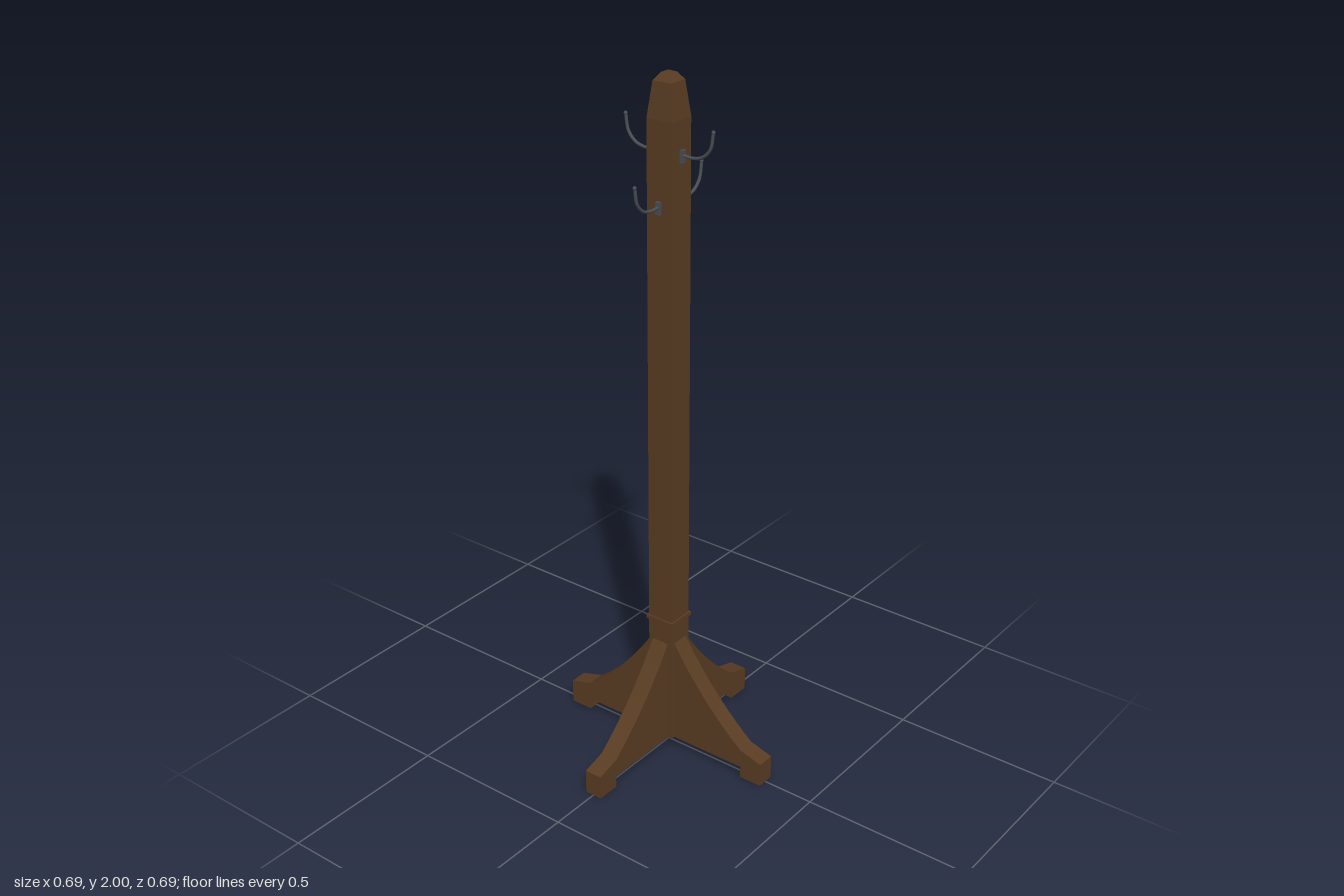
import * as THREE from 'three';
import { toCreasedNormals } from 'three/addons/utils/BufferGeometryUtils.js';

const wood = new THREE.MeshStandardMaterial({ color: 0x5a3d23 });
wood.name = 'darkWood';
const iron = new THREE.MeshStandardMaterial({ color: 0x4a4f56 });
iron.name = 'iron';

function add(parent, name, geometry, material, x = 0, y = 0, z = 0) {
  const mesh = new THREE.Mesh(geometry, material);
  mesh.name = name;
  mesh.position.set(x, y, z);
  parent.add(mesh);
  return mesh;
}

// Square post with a tapered, chamfered top; profile is [half width, height]
function postGeometry() {
  const profile = [[0, 0.035], [0.04, 0.035], [0.04, 1.885], [0.029, 1.98], [0.014, 2], [0, 2]]
    .map(([half, y]) => new THREE.Vector2(half * Math.SQRT2, y));
  return toCreasedNormals(new THREE.LatheGeometry(profile, 4, Math.PI / 4), 0.1);
}

// Buttress leg with a concave upper edge and a block foot
function legGeometry() {
  const width = 0.053;
  const shape = new THREE.Shape();
  shape.moveTo(0.02, 0.035);
  shape.lineTo(0.278, 0.035);
  shape.lineTo(0.278, 0);
  shape.lineTo(0.347, 0);
  shape.lineTo(0.347, 0.072);
  shape.lineTo(0.277, 0.092);
  shape.quadraticCurveTo(0.14, 0.2, 0.038, 0.36);
  shape.lineTo(0.02, 0.36);
  shape.closePath();
  const geometry = new THREE.ExtrudeGeometry(shape, { depth: width, bevelEnabled: false, curveSegments: 10 });
  geometry.translate(0, 0, -width / 2);
  return toCreasedNormals(geometry, 0.2);
}

// Upswept coat hook on a small wall plate, pointing along +x
function makeHook() {
  const hook = new THREE.Group();
  const path = new THREE.CatmullRomCurve3(
    [[0.042, 0.004], [0.075, 0.002], [0.106, 0.01], [0.13, 0.035], [0.139, 0.08]]
      .map(([x, y]) => new THREE.Vector3(x, y, 0)));
  add(hook, 'hookArm', new THREE.TubeGeometry(path, 24, 0.0045, 8), iron);
  add(hook, 'hookTip', new THREE.SphereGeometry(0.0055, 10, 8), iron, 0.139, 0.08);
  add(hook, 'hookPlate', new THREE.BoxGeometry(0.009, 0.034, 0.015), iron, 0.0435, 0.001);
  return hook;
}

export function createModel() {
  const model = new THREE.Group();
  model.name = 'coatStand';
  add(model, 'post', postGeometry(), wood);
  // Thin collar above the legs
  add(model, 'collar', new THREE.BoxGeometry(0.09, 0.012, 0.09), wood, 0, 0.426, 0);

  // Four legs, and four hooks at alternating heights
  const leg = legGeometry();
  for (let i = 0; i < 4; i++) {
    const angle = i * Math.PI / 2;
    add(model, 'leg' + (i + 1), leg, wood).rotation.y = angle;
    const hook = makeHook();
    hook.name = 'hook' + (i + 1);
    hook.position.y = i % 2 ? 1.79 : 1.655;
    hook.rotation.y = angle;
    model.add(hook);
  }
  return model;
}
